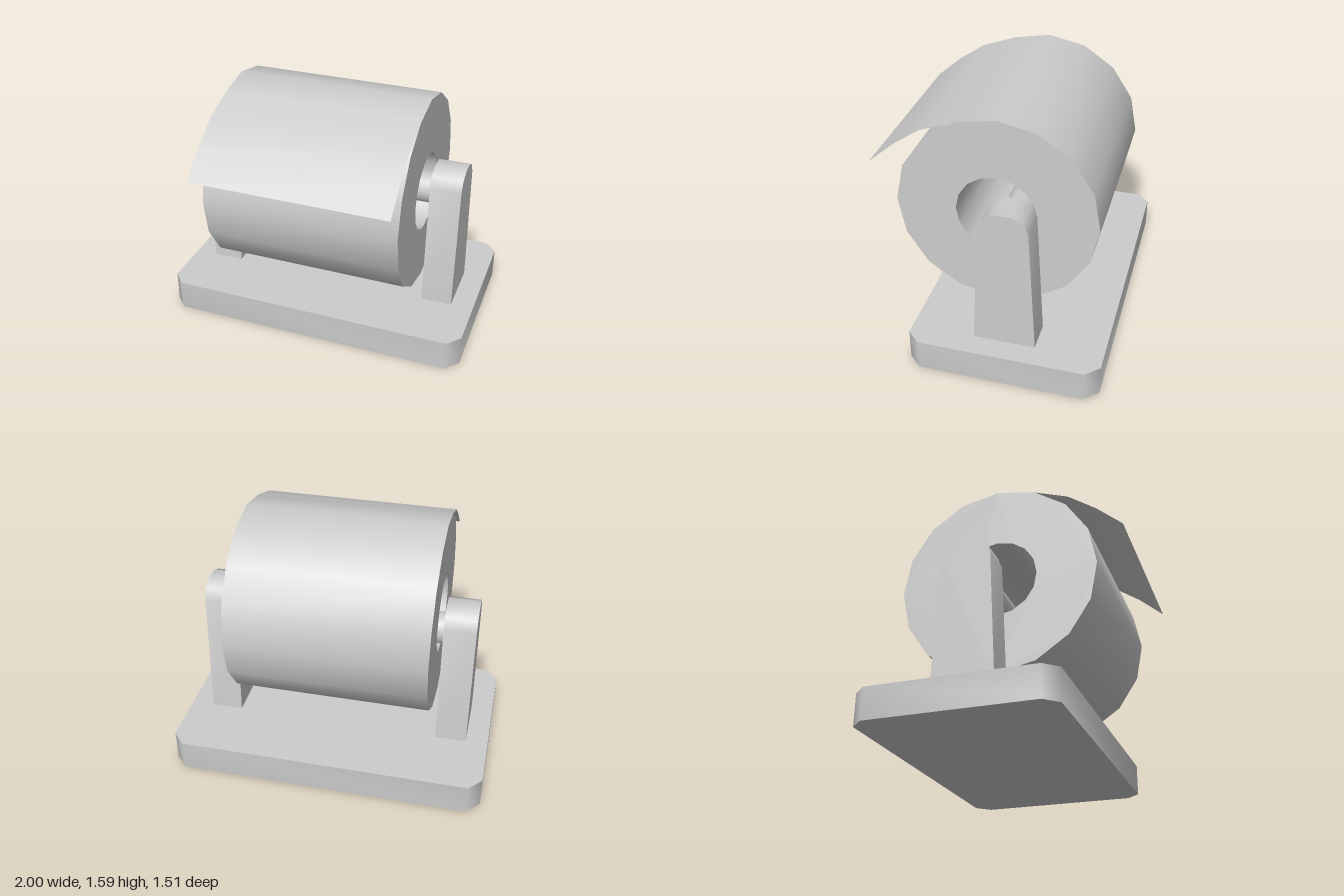
import * as THREE from 'three';
import { toCreasedNormals } from 'three/addons/utils/BufferGeometryUtils.js';

const grey = new THREE.MeshStandardMaterial({ color: 0xcccccc });
grey.name = 'plain grey';
const greySheet = new THREE.MeshStandardMaterial({ color: 0xcccccc, side: THREE.DoubleSide });
greySheet.name = 'plain grey sheet';

const CREASE = 0.9;
const ROLL = { y: 0.97, z: -0.033, outer: 0.623, inner: 0.25, width: 1.245 };

function named(name, geometry, material = grey) {
  const mesh = new THREE.Mesh(geometry, material);
  mesh.name = name;
  return mesh;
}

const toPoints = (list) => list.map(([a, b]) => new THREE.Vector2(a, b));

// Extrudes a side profile drawn in (z, y), centred on x = 0
function extrudeAcross(shape, width) {
  const g = new THREE.ExtrudeGeometry(shape, { depth: width, bevelEnabled: false });
  g.translate(0, 0, -width / 2);
  g.rotateY(-Math.PI / 2);
  return toCreasedNormals(g, CREASE);
}

// Sixteen-sided ring outline
function ring(radius) {
  const pts = [];
  for (let i = 0; i < 16; i++) {
    const a = (i / 16) * Math.PI * 2 + 0.01;
    pts.push([ROLL.z + radius * Math.cos(a), ROLL.y + radius * Math.sin(a)]);
  }
  return toPoints(pts);
}

export function createModel() {
  const model = new THREE.Group();
  model.name = 'paperRollHolder';

  // Base slab with cut corners, drawn in (x, -z)
  const baseShape = new THREE.Shape(toPoints([
    [-0.92, -0.45], [0.92, -0.45], [1, -0.365], [1, 0.67],
    [0.92, 0.755], [-0.92, 0.755], [-1, 0.67], [-1, -0.365],
  ]));
  const base = new THREE.ExtrudeGeometry(baseShape, { depth: 0.2, bevelEnabled: false });
  base.rotateX(-Math.PI / 2);
  model.add(named('base', toCreasedNormals(base, CREASE)));

  // Tapered posts with rounded tops
  const postShape = new THREE.Shape(toPoints([
    [0.052, 0.2], [0.01, 1.02], [-0.02, 1.09], [-0.095, 1.125],
    [-0.19, 1.125], [-0.26, 1.09], [-0.29, 1.02], [-0.335, 0.2],
  ]));
  for (const [name, x] of [['leftPost', 0.755], ['rightPost', -0.76]]) {
    const post = named(name, extrudeAcross(postShape, 0.2));
    post.position.x = x;
    model.add(post);
  }

  // Rod between the posts
  const rod = named('rod', new THREE.CylinderGeometry(0.1, 0.1, 1.34, 16));
  rod.rotation.z = Math.PI / 2;
  rod.position.set(0, 0.937, -0.148);
  model.add(rod);

  // Hollow roll
  const rollShape = new THREE.Shape(ring(ROLL.outer));
  rollShape.holes.push(new THREE.Path(ring(ROLL.inner)));
  model.add(named('roll', extrudeAcross(rollShape, ROLL.width)));

  // Loose sheet hanging forward off the roll
  const path = [[0.2, 1.546], [0.42, 1.467], [0.595, 1.345], [0.755, 1.205]];
  const sheet = new THREE.PlaneGeometry(ROLL.width, 1, 1, path.length - 1);
  const pos = sheet.attributes.position;
  for (let i = 0; i < pos.count; i++) {
    const [z, y] = path[Math.floor(i / 2)];
    pos.setXYZ(i, pos.getX(i), y, z);
  }
  sheet.computeVertexNormals();
  model.add(named('looseSheet', sheet, greySheet));

  return model;
}
